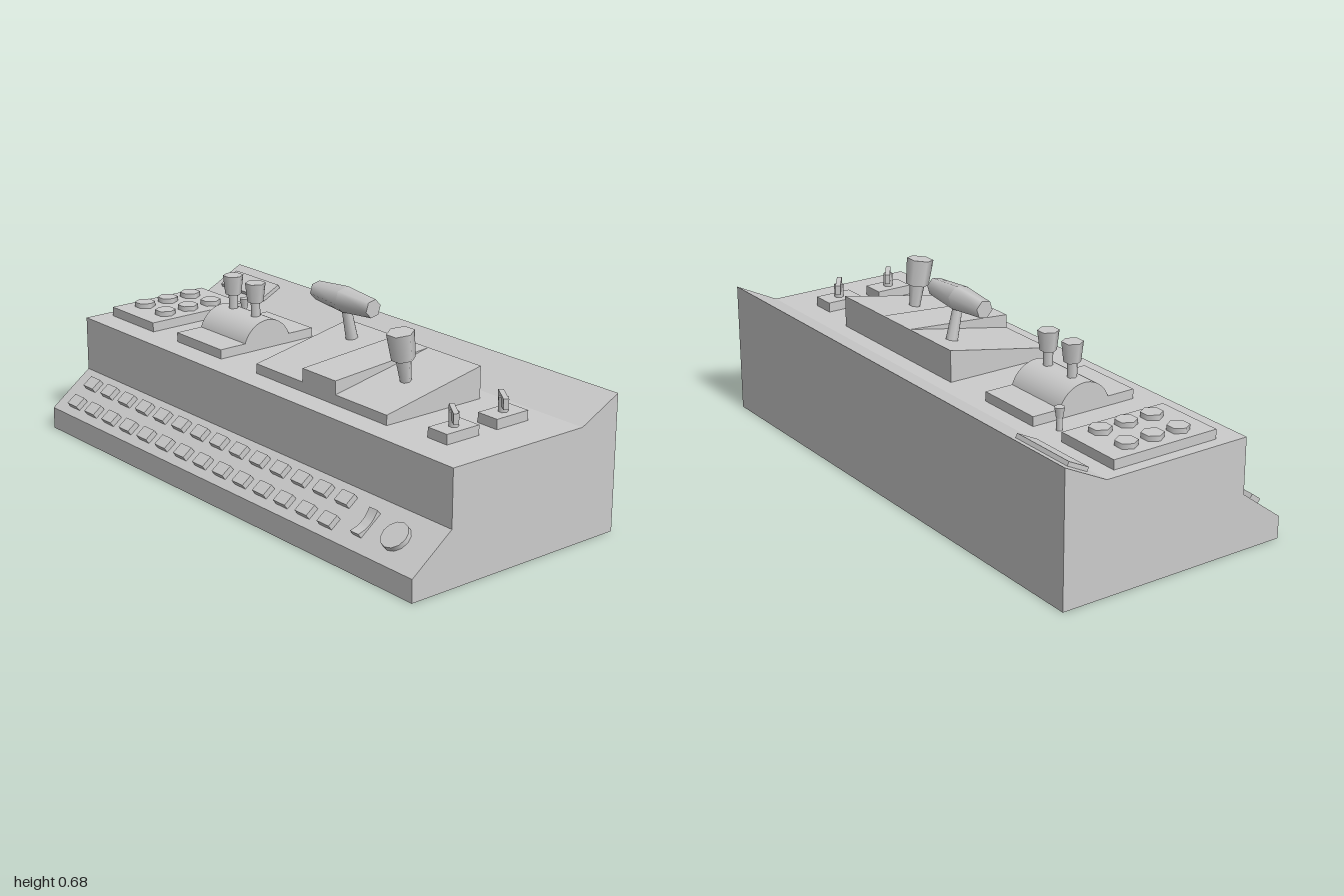
import * as THREE from 'three';
import { toCreasedNormals } from 'three/addons/utils/BufferGeometryUtils.js';

const grey = new THREE.MeshStandardMaterial({ color: 0xcccccc, side: THREE.DoubleSide });
const DECK = 0.4;

function add(parent, name, geometry, x = 0, y = 0, z = 0) {
  const mesh = new THREE.Mesh(geometry, grey);
  mesh.name = name;
  mesh.position.set(x, y, z);
  parent.add(mesh);
  return mesh;
}

function group(parent, name, x, y, z, tilt = 0) {
  const g = new THREE.Group();
  g.name = name;
  g.position.set(x, y, z);
  g.rotation.x = tilt;
  parent.add(g);
  return g;
}

// Box standing on its base
const block = (w, h, d) => new THREE.BoxGeometry(w, h, d).translate(0, h / 2, 0);

// Tapered post standing on its base; six-sided posts point along x
const post = (rTop, rBottom, h, sides = 6) =>
  new THREE.CylinderGeometry(rTop, rBottom, h, sides).rotateY(Math.PI / 6).translate(0, h / 2, 0);

// Side profile in (z, y), extruded across x and centred
function prism(shape, width) {
  return new THREE.ExtrudeGeometry(shape, { depth: width, bevelEnabled: false, curveSegments: 14 })
    .rotateY(-Math.PI / 2).translate(width / 2, 0, 0);
}

const outline = (points) => new THREE.Shape(points.map(([z, y]) => new THREE.Vector2(z, y)));

// Drop the triangles lying on the floor, leaving a hollow shell
function openBottom(geometry) {
  const p = geometry.attributes.position;
  const kept = [];
  for (let i = 0; i < p.count; i += 3) {
    if (Math.max(p.getY(i), p.getY(i + 1), p.getY(i + 2)) < 1e-4) continue;
    for (let k = i; k < i + 3; k++) kept.push(p.getX(k), p.getY(k), p.getZ(k));
  }
  const shell = new THREE.BufferGeometry();
  shell.setAttribute('position', new THREE.Float32BufferAttribute(kept, 3));
  shell.computeVertexNormals();
  return shell;
}

export function createModel() {
  const model = new THREE.Group();
  model.name = 'controlConsole';

  // Hollow desk body
  add(model, 'body', openBottom(prism(outline([
    [0.44, 0], [0.44, 0.08], [0.28, 0.2], [0.28, DECK], [-0.28, DECK], [-0.44, 0.48], [-0.44, 0],
  ]), 2)));

  // Sloping front panel: two rows of keys, a rocker and a round knob
  const panel = group(model, 'frontPanel', 0, 0.14, 0.36, Math.atan2(0.16, 0.12) - Math.PI / 2 + 2 * Math.atan2(0.12, 0.16));
  panel.rotation.x = Math.atan2(0.12, 0.16);
  for (let col = 0; col < 14; col++) {
    for (const z of [-0.045, 0.045]) {
      add(panel, 'key', block(0.06, 0.022, 0.045), -0.893 + col * 0.1118, -0.001, z);
    }
  }
  const rocker = outline([[-0.05, 0], [0.05, 0], [0.05, 0.02]]);
  rocker.quadraticCurveTo(0, -0.006, -0.05, 0.02);
  add(panel, 'rockerSwitch', toCreasedNormals(prism(rocker, 0.04), 0.6), 0.697, 0, 0);
  add(panel, 'roundKnob', post(0.05, 0.05, 0.018, 12), 0.84, 0, 0);

  // Small screen on the rear slope
  const screen = group(model, 'rearSlope', -0.825, 0.44, -0.36, Math.atan2(0.08, 0.16));
  add(screen, 'screen', block(0.262, 0.015, 0.085));

  // Push-button box
  const buttons = group(model, 'buttonBox', -0.826, DECK, -0.015);
  add(buttons, 'buttonBase', block(0.262, 0.034, 0.41));
  for (const x of [-0.065, 0.065]) {
    for (const z of [-0.104, 0, 0.104]) add(buttons, 'button', post(0.038, 0.038, 0.018), x, 0.034, z);
  }

  // Little pin lever
  const pin = group(model, 'pinLever', -0.615, DECK, -0.168);
  add(pin, 'pinStem', post(0.011, 0.011, 0.045, 8));
  add(pin, 'pinHead', post(0.018, 0.012, 0.037, 8), 0, 0.043, 0);

  // Twin lever unit with a rounded hump
  const twin = group(model, 'twinLeverUnit', -0.414, DECK, -0.015);
  add(twin, 'twinBase', block(0.262, 0.034, 0.41));
  const arc = new THREE.Shape().absarc(0, 0, 0.104, 0, Math.PI);
  add(twin, 'hump', toCreasedNormals(prism(arc, 0.262), 0.6));
  for (const x of [-0.065, 0.065]) {
    add(twin, 'twinStem', post(0.017, 0.017, 0.07), x, 0.09, 0);
    add(twin, 'twinGrip', post(0.037, 0.029, 0.07), x, 0.156, 0);
  }

  // Centre unit: three wedges side by side
  for (const [name, x0, x1, front] of [
    ['leftWedge', -0.08, 0.17, 0.435], ['middleWedge', 0.17, 0.34, 0.483], ['rightWedge', 0.34, 0.594, 0.435],
  ]) {
    const side = outline([[0.19, DECK], [0.19, front], [-0.22, 0.514], [-0.22, DECK]]);
    add(model, name, prism(side, x1 - x0), (x0 + x1) / 2, 0, 0);
  }

  // T-shaped lever, its grip thickest in the middle
  const tLever = group(model, 'crossLever', 0.047, 0.49, -0.13, 0.22);
  add(tLever, 'crossStem', post(0.018, 0.023, 0.13, 8));
  for (const s of [-1, 1]) {
    const half = new THREE.CylinderGeometry(s > 0 ? 0.046 : 0.033, s > 0 ? 0.033 : 0.046, 0.149, 6)
      .rotateZ(Math.PI / 2);
    add(tLever, 'crossGrip', half, s * 0.0745, 0.154, 0);
  }

  // Single tilted lever
  const lever = group(model, 'singleLever', 0.462, 0.465, -0.01, 0.155);
  add(lever, 'leverStem', post(0.027, 0.019, 0.09));
  add(lever, 'leverGrip', post(0.048, 0.041, 0.095), 0, 0.088, 0);

  // Pair of rotary switches
  for (const z of [0.093, -0.123]) {
    const rotary = group(model, 'rotarySwitch', 0.8, DECK, z);
    add(rotary, 'rotaryBase', block(0.088, 0.035, 0.138));
    add(rotary, 'rotaryStem', post(0.017, 0.017, 0.05), 0, 0.034, 0);
    add(rotary, 'rotaryHandle', block(0.1, 0.036, 0.018), 0, 0.057, 0).rotation.y = -0.6;
  }

  return model;
}
